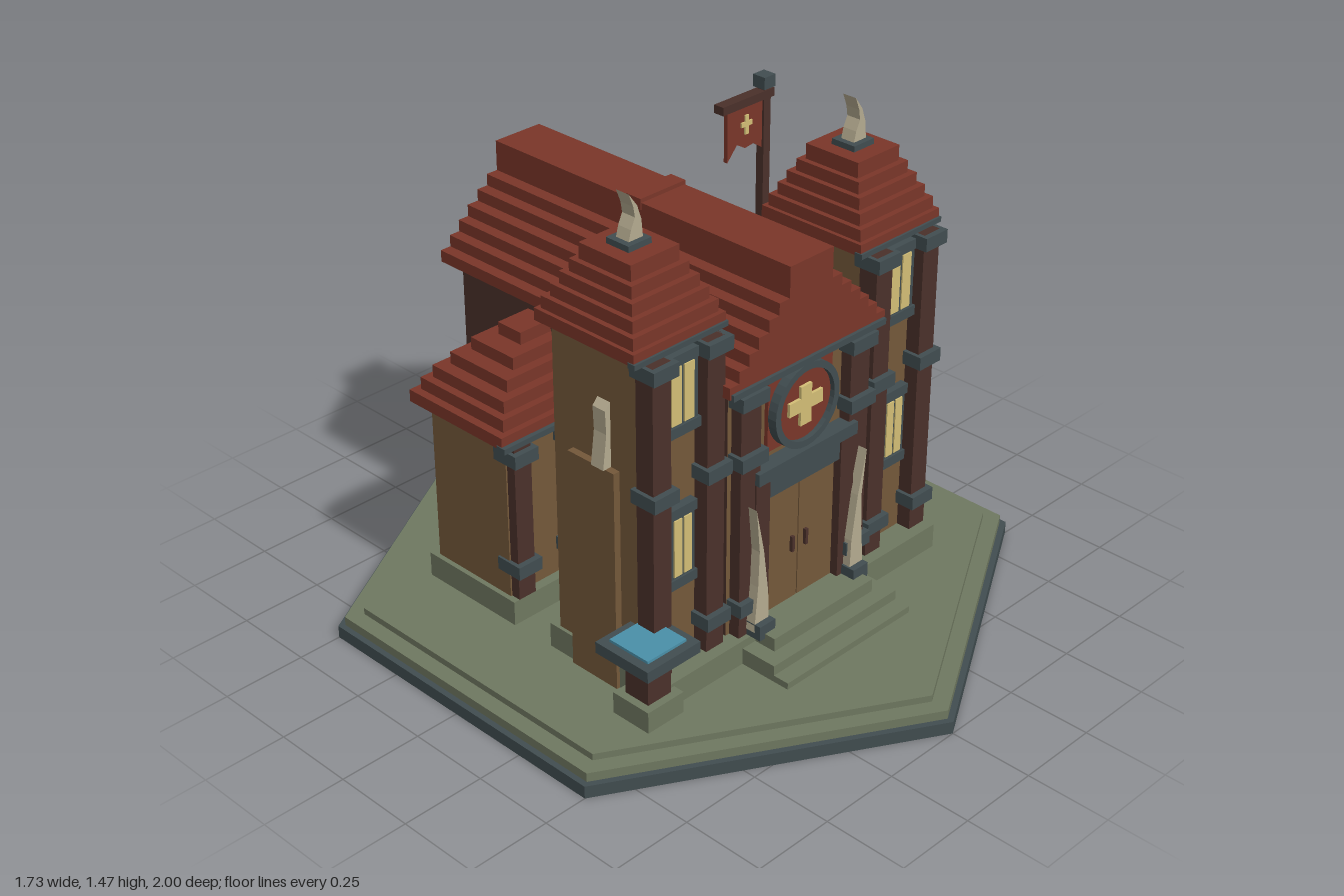
import * as THREE from 'three';

const mat = (name, color) => {
  const m = new THREE.MeshStandardMaterial({ color });
  m.name = name;
  return m;
};

export function createModel() {
  const red = mat('roof red', 0x7a3629), wood = mat('wood', 0x74583a), dark = mat('dark timber', 0x4a302a);
  const slate = mat('slate', 0x414d50), stone = mat('mossy stone', 0x6f7860), bone = mat('bone', 0xb5ab90);
  const yellow = mat('window yellow', 0xd3be76), blue = mat('water blue', 0x4a90a9);
  const root = new THREE.Group();

  const group = (name, parent = root) => {
    const g = new THREE.Group();
    g.name = name;
    parent.add(g);
    return g;
  };
  const add = (p, name, geo, m, x = 0, y = 0, z = 0) => {
    const mesh = new THREE.Mesh(geo, m);
    mesh.name = name;
    mesh.position.set(x, y, z);
    p.add(mesh);
    return mesh;
  };
  // Box given by its limits on each axis
  const box = (p, name, m, x0, x1, y0, y1, z0, z1) =>
    add(p, name, new THREE.BoxGeometry(x1 - x0, y1 - y0, z1 - z0), m, (x0 + x1) / 2, (y0 + y1) / 2, (z0 + z1) / 2);
  // Flat outline pushed out along z
  const plate = (p, name, m, pts, depth, x, y, z) => {
    const geo = new THREE.ExtrudeGeometry(new THREE.Shape(pts.map(q => new THREE.Vector2(...q))), { depth, bevelEnabled: false });
    geo.translate(0, 0, -depth / 2);
    return add(p, name, geo, m, x, y, z);
  };
  // Slanted beam on a back wall
  const brace = (p, x0, y0, x1, y1, z) => {
    const b = add(p, 'brace', new THREE.BoxGeometry(0.045, Math.hypot(x1 - x0, y1 - y0), 0.03), dark, (x0 + x1) / 2, (y0 + y1) / 2, z);
    b.rotation.z = Math.atan2(x0 - x1, y1 - y0);
  };
  // Post with slate clamps
  const post = (p, x, w, y0, y1, z, clamps) => {
    box(p, 'post', dark, x - w / 2, x + w / 2, y0, y1, z - 0.06, z);
    for (const y of clamps) box(p, 'clamp', slate, x - w / 2 - 0.012, x + w / 2 + 0.012, y - 0.02, y + 0.02, z - 0.07, z + 0.018);
  };
  // Leaded window facing +z, centred on its own origin
  const windowUnit = (p, w, h, x, y, z) => {
    const g = group('window', p);
    g.position.set(x, y, z);
    box(g, 'frame', slate, -w * 0.45, w * 0.45, -h / 2, h / 2, -0.01, 0.01);
    for (const s of [-1, 1]) {
      box(g, 'frameBar', slate, -w / 2, w / 2, s * h / 2 - 0.015, s * h / 2 + 0.015, -0.01, 0.016);
      box(g, 'pane', yellow, s * w * 0.18 - w * 0.14, s * w * 0.18 + w * 0.14, -h * 0.4, h * 0.4, 0.01, 0.014);
    }
    return g;
  };

  // Hexagonal ground slab
  const ground = group('ground');
  [[1, 0, 0.038, slate], [0.98, 0.038, 0.065, stone], [0.925, 0.065, 0.085, stone]].forEach(([r, y0, y1, m]) =>
    add(ground, 'slab', new THREE.CylinderGeometry(r, r, y1 - y0, 6).toNonIndexed(), m, 0, (y0 + y1) / 2, 0).geometry.computeVertexNormals());

  // Main hall, with dark side walls
  const hall = group('hall');
  box(hall, 'foundation', stone, -0.29, 0.29, 0.08, 0.16, -0.62, 0.47);
  const sides = [dark, dark, wood, wood, wood, wood];
  box(hall, 'walls', sides, -0.265, 0.265, 0.16, 0.93, -0.605, 0.42);
  [0.3, 0.265, 0.23, 0.195, 0.157, 0.12, 0.082].forEach((w, i) =>
    box(hall, 'roofStep', red, -w, w, 0.92 + i * 0.035, i === 6 ? 1.22 : 0.955 + i * 0.035, -0.655, 0.46));
  box(hall, 'ridgeCap', red, -0.085, 0.085, 1.2, 1.232, -0.13, -0.075);
  box(hall, 'eaveBeam', slate, -0.295, 0.295, 0.917, 0.935, 0.43, 0.47);
  brace(hall, 0.22, 0.88, -0.18, 0.27, -0.62);
  for (const s of [-1, 1]) {
    post(hall, s * 0.213, 0.075, 0.16, 0.92, 0.455, [0.257, 0.71, 0.89]);
    for (const z of [0.085, -0.13, -0.395])
      windowUnit(hall, 0.11, 0.26, s * 0.27, 0.525, z).rotation.y = s * Math.PI / 2;
  }

  // Round emblem with a plain cross
  const emblem = group('emblem');
  box(emblem, 'backing', red, -0.125, 0.125, 0.68, 0.89, 0.42, 0.432);
  const ring = new THREE.Shape().absarc(0, 0, 0.125, 0, Math.PI * 2);
  ring.holes.push(new THREE.Path().absarc(0, 0, 0.105, 0, Math.PI * 2, true));
  add(emblem, 'ring', new THREE.ExtrudeGeometry(ring, { depth: 0.035, bevelEnabled: false, curveSegments: 16 }), slate, 0, 0.785, 0.425);
  add(emblem, 'disc', new THREE.CylinderGeometry(0.108, 0.108, 0.02, 24).rotateX(Math.PI / 2), red, 0, 0.785, 0.435);
  box(emblem, 'crossBar', yellow, -0.065, 0.065, 0.768, 0.808, 0.445, 0.454);
  box(emblem, 'crossUpright', yellow, -0.021, 0.021, 0.725, 0.843, 0.445, 0.454);

  // Doorway and steps
  const door = group('doorway');
  box(door, 'lintel', slate, -0.195, 0.195, 0.62, 0.657, 0.42, 0.47);
  box(door, 'lowerLintel', slate, -0.145, 0.145, 0.555, 0.62, 0.42, 0.455);
  for (const s of [-1, 1]) {
    box(door, 'doorLeaf', wood, s * 0.071 - 0.069, s * 0.071 + 0.069, 0.17, 0.555, 0.42, 0.436);
    box(door, 'handle', dark, s * 0.027 - 0.005, s * 0.027 + 0.005, 0.33, 0.378, 0.436, 0.446);
    box(door, 'doorPost', dark, s * 0.168 - 0.027, s * 0.168 + 0.027, 0.16, 0.62, 0.42, 0.46);
    box(door, 'tuskBase', slate, s * 0.19 - 0.03, s * 0.19 + 0.03, 0.16, 0.205, 0.455, 0.505);
    const tusk = plate(door, 'tusk', bone,
      [[-0.027, 0], [0.03, 0], [0.026, 0.11], [0.006, 0.25], [-0.024, 0.385], [-0.01, 0.25], [-0.014, 0.14]], 0.03, s * 0.195, 0.18, 0.47);
    if (s > 0) tusk.rotation.y = Math.PI;
  }
  [[0.25, 0.105, 0.635], [0.25, 0.135, 0.585], [0.2, 0.175, 0.54]].forEach(([w, y, z]) =>
    box(door, 'step', stone, -w, w, 0.08, y, 0.42, z));

  // Front towers
  for (const s of [-1, 1]) {
    const t = group(s > 0 ? 'leftTower' : 'rightTower');
    t.position.x = s * 0.42;
    box(t, 'foundation', stone, -0.135, 0.135, 0.08, 0.16, 0.04, 0.47);
    box(t, 'walls', wood, -0.125, 0.125, 0.16, 1.11, 0.07, 0.39);
    for (const e of [-1, 1]) post(t, e * 0.097, 0.064, 0.16, 1.1, 0.435, [0.257, 0.714, 1.08]);
    brace(t, 0.1, 1.06, -0.08, 0.45, 0.065);
    windowUnit(t, 0.125, 0.205, 0, 0.972, 0.4);
    windowUnit(t, 0.1, 0.215, 0, 0.52, 0.4);
    [0.162, 0.15, 0.134, 0.118, 0.101, 0.084].forEach((w, i) =>
      box(t, 'roofStep', red, -w, w, 1.105 + i * 0.035, i === 5 ? 1.325 : 1.14 + i * 0.035, 0.225 - w * 1.1, 0.225 + w * 1.1));
    box(t, 'eaveBeam', slate, -0.165, 0.165, 1.1, 1.115, 0.385, 0.41);
    box(t, 'hornBase', slate, -0.04, 0.04, 1.32, 1.342, 0.185, 0.265);
    plate(t, 'horn', bone,
      [[-0.022, 0], [0.027, 0], [0.022, 0.05], [0.008, 0.09], [-0.02, 0.128], [-0.005, 0.09], [0, 0.06], [-0.014, 0.03]],
      0.045, 0, 1.342, 0.225);
    // Buttress on the outer side, topped by a small horn
    const [b0, b1] = s > 0 ? [0.08, 0.146] : [-0.146, -0.08];
    box(t, 'buttress', wood, b0, b1, 0.08, 0.755, 0.14, 0.31);
    plate(t, 'sideHorn', bone,
      [[-0.022, 0], [0.022, 0], [0.026, 0.05], [0.014, 0.13], [0.012, 0.19], [-0.01, 0.17], [-0.006, 0.1]],
      0.045, s * 0.135, 0.755, 0.257).scale.x = 0.8;
  }

  // Side wings with hipped, stepped roofs
  for (const s of [-1, 1]) {
    const w = group(s > 0 ? 'leftWing' : 'rightWing');
    const span = (name, m, a, b, y0, y1, z0, z1) =>
      box(w, name, m, Math.min(s * a, s * b), Math.max(s * a, s * b), y0, y1, z0, z1);
    span('foundation', stone, 0.2, 0.56, 0.08, 0.16, -0.455, -0.1);
    span('walls', wood, 0.2, 0.545, 0.16, 0.66, -0.43, -0.13);
    for (const x of [0.33, 0.51]) post(w, s * x, 0.06, 0.16, 0.65, -0.1, [0.257, 0.61]);
    span('eaveBeam', slate, 0.25, 0.583, 0.648, 0.665, -0.12, -0.088);
    [[0.58, 0.188], [0.555, 0.168], [0.53, 0.145], [0.49, 0.115], [0.44, 0.085], [0.375, 0.045]].forEach(([x, z], i) =>
      span('roofStep', red, 0.2, x, 0.655 + i * 0.037, 0.692 + i * 0.037, -0.29 - z, -0.29 + z));
    const y = s > 0 ? 0.54 : 0.24;
    brace(w, s * 0.4 + 0.06, y + 0.06, s * 0.4 - 0.06, y, -0.44);
  }

  // Water basin
  const basin = group('waterBasin');
  basin.position.set(-0.577, 0, 0.44);
  box(basin, 'plinth', stone, -0.065, 0.065, 0.08, 0.15, -0.065, 0.065);
  box(basin, 'stem', dark, -0.042, 0.042, 0.15, 0.28, -0.042, 0.042);
  box(basin, 'tray', slate, -0.096, 0.096, 0.277, 0.311, -0.096, 0.096);
  box(basin, 'water', blue, -0.07, 0.07, 0.311, 0.319, -0.07, 0.07);

  // Flag pole and swallow-tailed banner
  const flag = group('flagPole');
  flag.position.set(0.66, 0, -0.32);
  box(flag, 'plinth', stone, -0.055, 0.055, 0.08, 0.14, -0.055, 0.055);
  box(flag, 'foot', slate, -0.028, 0.028, 0.14, 0.18, -0.028, 0.028);
  box(flag, 'pole', dark, -0.014, 0.014, 0.18, 1.265, -0.014, 0.014);
  box(flag, 'cap', slate, -0.023, 0.023, 1.262, 1.3, -0.023, 0.023);
  box(flag, 'arm', dark, -0.19, 0.025, 1.23, 1.256, -0.018, 0.018);
  plate(flag, 'banner', red,
    [[-0.16, 1.232], [-0.16, 1.07], [-0.12, 1.115], [-0.085, 1.095], [-0.05, 1.1], [-0.005, 1.07], [-0.005, 1.232]], 0.014, 0, 0, 0);
  box(flag, 'bannerCrossBar', yellow, -0.105, -0.06, 1.165, 1.18, 0.007, 0.012);
  box(flag, 'bannerCrossUpright', yellow, -0.09, -0.075, 1.14, 1.2, 0.007, 0.012);

  return root;
}
